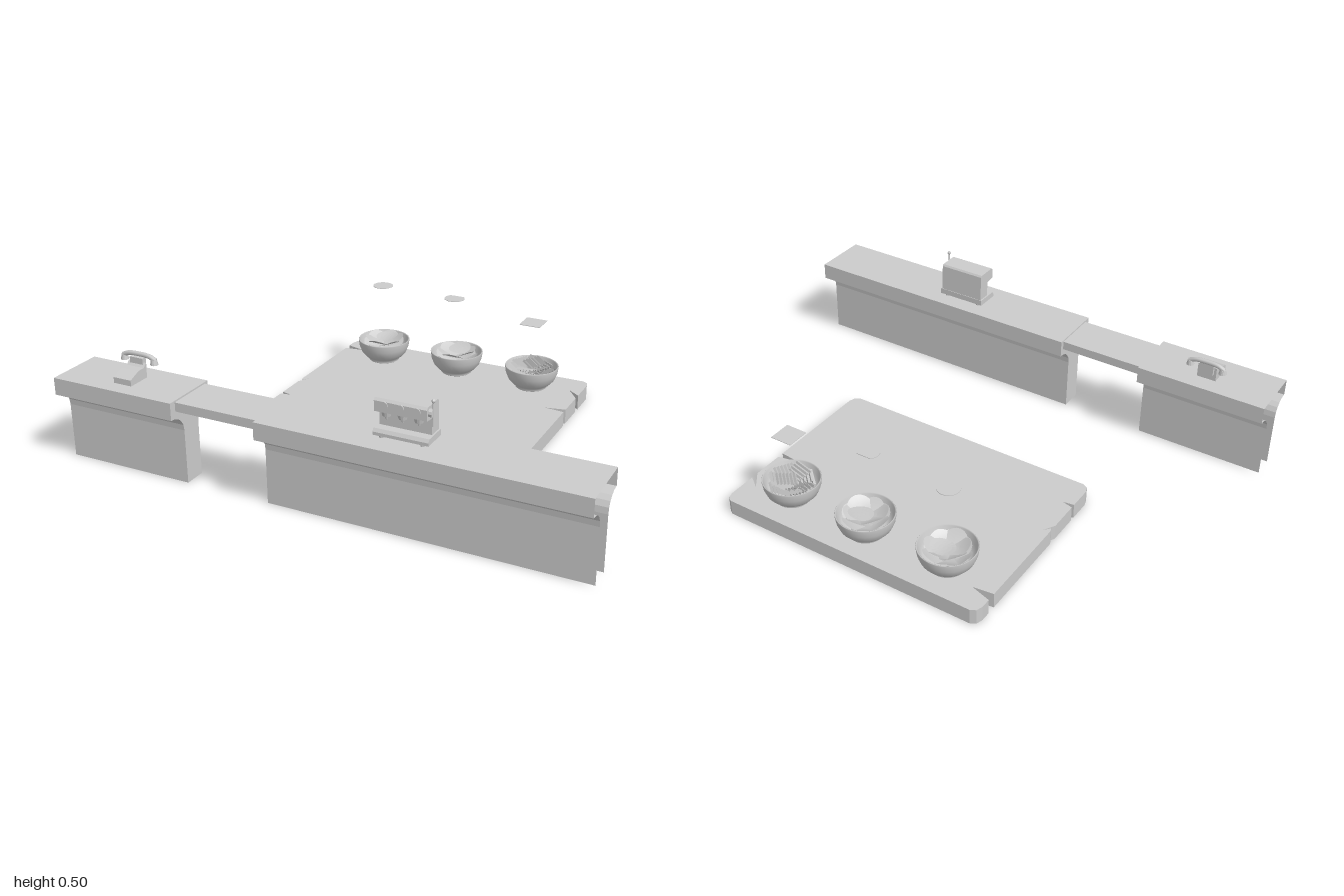
import * as THREE from 'three';

const grey = new THREE.MeshStandardMaterial({ color: 0xcccccc, side: THREE.DoubleSide });
const smoothGrey = grey;
const flatGrey = grey.clone();
flatGrey.flatShading = true;

const v2 = (list) => list.map(([a, b]) => new THREE.Vector2(a, b));

function add(parent, name, geometry, x = 0, y = 0, z = 0, material = flatGrey) {
  const mesh = new THREE.Mesh(geometry, material);
  mesh.name = name;
  mesh.position.set(x, y, z);
  parent.add(mesh);
  return mesh;
}

function group(parent, name, x = 0, y = 0, z = 0) {
  const g = new THREE.Group();
  g.name = name;
  g.position.set(x, y, z);
  parent.add(g);
  return g;
}

// Solid with a (z, y) outline, running from x0 to x1
function extrudeX(profile, x0, x1) {
  return new THREE.ExtrudeGeometry(new THREE.Shape(v2(profile)), { depth: x1 - x0, bevelEnabled: false })
    .rotateY(-Math.PI / 2).translate(x1, 0, 0);
}

// T-shaped counter outline, open at the bottom
const half = [[0.042, 0], [0.042, 0.205], [0.045, 0.227], [0.055, 0.245], [0.07, 0.259], [0.09, 0.268], [0.112, 0.27], [0.112, 0.335]];
const counterProfile = [...half.map(([z, y]) => [0.6 + z, y]), ...half.slice().reverse().map(([z, y]) => [0.6 - z, y])];

// Counter shell: a bent sheet, closed only at its inner end
function counter(parent, name, xOpen, xClosed) {
  const g = group(parent, name);
  const x0 = Math.min(xOpen, xClosed), x1 = Math.max(xOpen, xClosed);
  const pos = [];
  for (let i = 0; i < counterProfile.length - 1; i++) {
    const [za, ya] = counterProfile[i], [zb, yb] = counterProfile[i + 1];
    pos.push(x0, ya, za, x1, ya, za, x1, yb, zb, x0, ya, za, x1, yb, zb, x0, yb, zb);
  }
  const shell = new THREE.BufferGeometry();
  shell.setAttribute('position', new THREE.Float32BufferAttribute(pos, 3));
  shell.computeVertexNormals();
  add(g, 'counterShell', shell);
  const cap = new THREE.ShapeGeometry(new THREE.Shape(v2(counterProfile))).rotateY(-Math.PI / 2);
  add(g, 'counterEnd', cap, xClosed);
}

function telephone(parent) {
  const g = group(parent, 'telephone');
  add(g, 'phoneBase', extrudeX([[0.56, 0.335], [0.652, 0.335], [0.652, 0.357], [0.605, 0.376], [0.575, 0.376], [0.56, 0.39]], -0.78, -0.706));
  add(g, 'phoneCradle', new THREE.BoxGeometry(0.055, 0.045, 0.02), -0.743, 0.384, 0.557);
  const curve = new THREE.CatmullRomCurve3([[-0.07, 0.4], [-0.045, 0.411], [0, 0.414], [0.045, 0.411], [0.07, 0.4]]
    .map(([x, y]) => new THREE.Vector3(x - 0.743, y, 0.548)));
  add(g, 'handset', new THREE.TubeGeometry(curve, 16, 0.009, 8), 0, 0, 0, smoothGrey);
  for (const s of [-1, 1]) {
    add(g, 'handsetCup', new THREE.CylinderGeometry(0.011, 0.015, 0.018, 12), -0.743 + s * 0.064, 0.393, 0.548);
  }
}

function coffeeMachine(parent) {
  const g = group(parent, 'coffeeMachine');
  const x0 = 0.242, x1 = 0.427, mid = (x0 + x1) / 2;
  add(g, 'machineBody', extrudeX([[0.545, 0.365], [0.598, 0.365], [0.598, 0.425], [0.638, 0.43], [0.638, 0.467],
    [0.63, 0.475], [0.555, 0.475], [0.55, 0.468]], x0, x1));
  add(g, 'dripTray', extrudeX([[0.543, 0.345], [0.638, 0.345], [0.638, 0.356], [0.63, 0.367], [0.543, 0.367]], x0 - 0.006, x1 + 0.006));
  for (const x of [x0 + 0.02, x1 - 0.02]) for (const z of [0.56, 0.622]) {
    add(g, 'foot', new THREE.CylinderGeometry(0.009, 0.009, 0.011, 8), x, 0.34, z);
  }
  // Three brewing heads with handles and dials
  for (const i of [-1, 0, 1]) {
    const x = mid + i * 0.057;
    add(g, 'brewHead', new THREE.CylinderGeometry(0.018, 0.014, 0.016, 12), x, 0.421, 0.618);
    add(g, 'spout', new THREE.CylinderGeometry(0.007, 0.003, 0.014, 8), x, 0.407, 0.618);
    add(g, 'dial', new THREE.CylinderGeometry(0.014, 0.014, 0.006, 12).rotateX(Math.PI / 2), x, 0.455, 0.638);
  }
  // Side lever
  add(g, 'leverHub', new THREE.CylinderGeometry(0.014, 0.014, 0.014, 10).rotateZ(Math.PI / 2), x1 + 0.005, 0.453, 0.618);
  add(g, 'leverArm', new THREE.CylinderGeometry(0.003, 0.003, 0.09, 6), x1 + 0.013, 0.453, 0.618);
  add(g, 'leverKnob', new THREE.SphereGeometry(0.007, 8, 6), x1 + 0.013, 0.495, 0.618);
}

// Stone slab with nicks in its edges, outline as (x, z)
function slab(parent) {
  const outline = [[-0.51, -0.711], [0.51, -0.711], [0.527, -0.7], [0.535, -0.675],
    [0.535, -0.565], [0.487, -0.6], [0.535, -0.535], [0.535, -0.415], [0.455, -0.398], [0.535, -0.39],
    [0.535, 0.03], [0.527, 0.055], [0.51, 0.066], [-0.51, 0.066], [-0.53, 0.055], [-0.538, 0.03],
    [-0.538, -0.058], [-0.495, -0.064], [-0.538, -0.075], [-0.538, -0.195], [-0.51, -0.242], [-0.533, -0.215],
    [-0.538, -0.23], [-0.538, -0.605], [-0.46, -0.615], [-0.538, -0.638], [-0.538, -0.675], [-0.53, -0.7]];
  const shape = new THREE.Shape(v2(outline.map(([x, z]) => [x, -z])));
  add(parent, 'slab', new THREE.ExtrudeGeometry(shape, { depth: 0.06, bevelEnabled: false }).rotateX(-Math.PI / 2));
}

// Corrugated square crisp
function ridgedCrisp(size) {
  const geo = new THREE.PlaneGeometry(size, size, 12, 1).rotateX(-Math.PI / 2);
  const p = geo.attributes.position;
  for (let i = 0; i < p.count; i++) p.setY(i, (i % 13) % 2 ? 0.004 : -0.004);
  return geo;
}

// Gently curved round crisp
function roundCrisp(r) {
  const geo = new THREE.RingGeometry(0, r, 18, 3).rotateX(-Math.PI / 2);
  const p = geo.attributes.position;
  for (let i = 0; i < p.count; i++) p.setY(i, 3 * p.getX(i) ** 2 - 0.003);
  geo.computeVertexNormals();
  return geo;
}

function bowl(parent, x, z, kind) {
  const g = group(parent, 'bowl', x, 0, z);
  const profile = v2([[0, 0.062], [0.06, 0.06], [0.064, 0.063], [0.061, 0.071], [0.078, 0.08], [0.094, 0.098], [0.104, 0.123],
    [0.108, 0.15], [0.106, 0.153], [0.102, 0.15], [0.097, 0.124], [0.086, 0.1], [0.065, 0.084], [0, 0.078]]);
  add(g, 'bowlShell', new THREE.LatheGeometry(profile, 32), 0, 0, 0, smoothGrey);
  const food = group(g, 'crisps');
  for (let layer = 0; layer < 2; layer++) {
    for (let i = 0; i < 6; i++) {
      const a = (i + layer * 0.5) * Math.PI / 3 + kind;
      const r = 0.046 - layer * 0.008;
      const geo = kind === 2 ? ridgedCrisp(0.078) : roundCrisp(0.045 + 0.003 * (i % 2));
      const crisp = add(food, 'crisp', geo, Math.cos(a) * r, 0.118 + layer * 0.022 + 0.003 * (i % 3), Math.sin(a) * r,
        kind === 2 ? flatGrey : smoothGrey);
      crisp.rotation.order = 'ZXY';
      crisp.rotation.set(-Math.sin(a) * 0.42, kind === 2 ? Math.PI / 4 + 0.3 * (i % 3) : -a, Math.cos(a) * 0.42);
    }
  }
  const top = add(food, 'topCrisp', kind === 2 ? ridgedCrisp(0.075) : roundCrisp(0.046), 0.005, 0.158, -0.02);
  top.rotation.set(0.12, kind === 2 ? 0.8 : kind, 0.08);
}

// Flat thin pieces hovering over the bowls
function hoveringPieces(parent) {
  add(parent, 'hoveringRound', new THREE.CylinderGeometry(0.041, 0.041, 0.002, 20), -0.335, 0.39, -0.565);
  const oval = new THREE.Shape();
  oval.absarc(0, 0, 0.042, -0.6, Math.PI + 0.6);
  oval.quadraticCurveTo(-0.03, 0.035, 0, 0.035).quadraticCurveTo(0.03, 0.035, 0.0347, -0.0237);
  const cut = new THREE.Shape();
  cut.absarc(0, 0, 0.041, -Math.PI * 1.25, Math.PI * 0.25);
  const flat = (s) => new THREE.ExtrudeGeometry(s, { depth: 0.002, bevelEnabled: false }).rotateX(-Math.PI / 2);
  add(parent, 'hoveringOval', flat(cut), -0.003, 0.389, -0.55);
  add(parent, 'hoveringSquare', new THREE.BoxGeometry(0.085, 0.002, 0.088), 0.332, 0.336, -0.567);
}

export function createModel() {
  const model = new THREE.Group();
  model.name = 'snackBar';
  counter(model, 'shortCounter', -1, -0.498);
  counter(model, 'longCounter', 1, -0.168);
  add(model, 'counterFlap', new THREE.BoxGeometry(0.33, 0.034, 0.18), -0.333, 0.312, 0.595);
  telephone(model);
  coffeeMachine(model);
  slab(model);
  [[-0.335, -0.573], [-0.003, -0.583], [0.332, -0.573]].forEach(([x, z], i) => bowl(model, x, z, i));
  hoveringPieces(model);
  return model;
}
